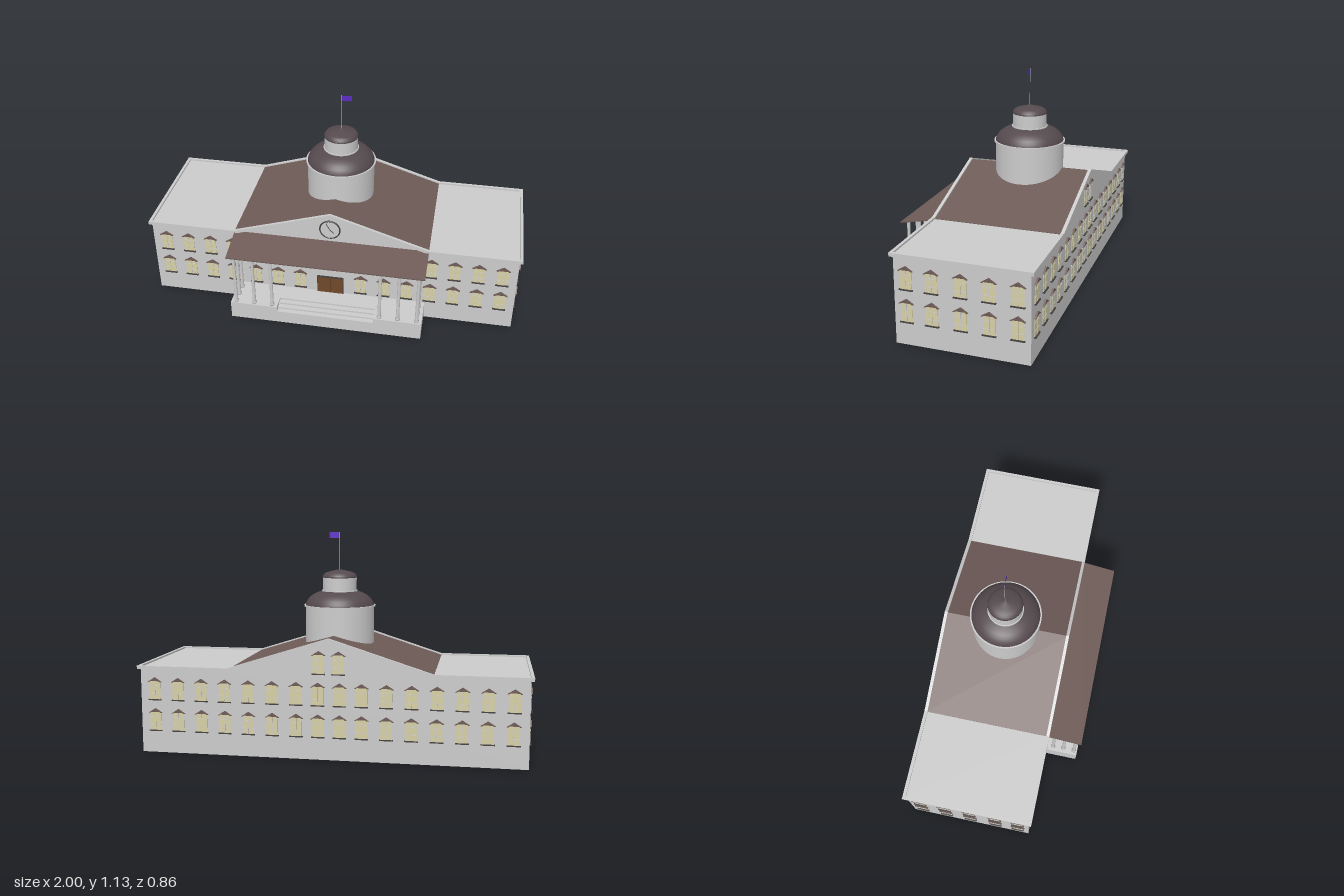
import * as THREE from 'three';

const mat = (color, side = THREE.FrontSide) => new THREE.MeshStandardMaterial({ color, side });
const grey = mat(0xcccccc);
const roofBrown = mat(0x6e5b57, THREE.DoubleSide);
const domeBrown = mat(0x554a4e, THREE.DoubleSide);
const glass = mat(0xd6d0a4);
const dark = mat(0x444040);
const wood = mat(0x70482a);
const purple = mat(0x5a2bc4, THREE.DoubleSide);

const FRONT = 0.24, BACK = -0.415, HALF = 0.985, DOME_Z = -0.09;

function add(parent, name, geometry, material, x = 0, y = 0, z = 0) {
  const mesh = new THREE.Mesh(geometry, material);
  mesh.name = name;
  mesh.position.set(x, y, z);
  parent.add(mesh);
  return mesh;
}

// box given by its minimum and maximum corners
function block(parent, name, material, [x0, y0, z0], [x1, y1, z1]) {
  return add(parent, name, new THREE.BoxGeometry(x1 - x0, y1 - y0, z1 - z0), material,
    (x0 + x1) / 2, (y0 + y1) / 2, (z0 + z1) / 2);
}

// outline in x and y, pushed from z0 to z1
function prism(points, z0, z1) {
  const shape = new THREE.Shape(points.map(p => new THREE.Vector2(...p)));
  return new THREE.ExtrudeGeometry(shape, { depth: z1 - z0, bevelEnabled: false }).translate(0, 0, z0);
}

// band of constant height beneath a line
const band = (line, h) => [...line, ...line.map(([x, y]) => [x, y - h]).reverse()];

// Window pieces, origin at the middle of the sill, facing +z
const paneGeo = prism([[-0.029, 0], [0.029, 0], [0.029, 0.086], [0.022, 0.095], [-0.022, 0.095], [-0.029, 0.086]], 0, 0.003);
const hoodGeo = prism([[-0.037, 0.091], [-0.028, 0.091], [-0.022, 0.096], [0.022, 0.096], [0.028, 0.091], [0.037, 0.091], [0, 0.115]], 0, 0.01);
const sillGeo = new THREE.BoxGeometry(0.068, 0.005, 0.01);
const mullionGeo = new THREE.BoxGeometry(0.003, 0.092, 0.005);
const railGeo = new THREE.BoxGeometry(0.058, 0.0025, 0.005);

function addWindow(parent, x, y, z, turn) {
  const g = new THREE.Group();
  g.name = 'window';
  add(g, 'pane', paneGeo, glass);
  add(g, 'hood', hoodGeo, roofBrown);
  add(g, 'sill', sillGeo, dark, 0, -0.002, 0.005);
  add(g, 'mullion', mullionGeo, grey, 0, 0.047, 0.0025);
  add(g, 'rail', railGeo, grey, 0, 0.07, 0.0025);
  add(g, 'rail', railGeo, grey, 0, 0.03, 0.0025);
  g.position.set(x, y, z);
  g.rotation.y = turn;
  parent.add(g);
}

function addWindows(parent) {
  const xs = [0.055, 0.166, 0.29, 0.414, 0.538, 0.662, 0.786, 0.91];
  const zs = [0.18, 0.055, -0.085, -0.22, -0.355];
  for (const s of [-1, 1]) {
    for (const y of [0.118, 0.28]) {
      xs.forEach((x, i) => {
        if (i > 0 || y > 0.2) addWindow(parent, s * x, y, FRONT, 0); // door takes the lower middle
        addWindow(parent, s * x, y, BACK, Math.PI);
      });
      zs.forEach(z => addWindow(parent, s * HALF, y, z, s * Math.PI / 2));
    }
    addWindow(parent, s * 0.05, 0.44, BACK, Math.PI);
  }
}

function addBody(parent) {
  const walls = [[-HALF, 0], [HALF, 0], [HALF, 0.446], [0.52, 0.446], [0, 0.603], [-0.52, 0.446], [-HALF, 0.446]];
  add(parent, 'walls', prism(walls, BACK, FRONT), grey);
  // pitched roof over the middle
  const pitch = [[-0.52, 0.448], [0, 0.612], [0.52, 0.448]];
  add(parent, 'pitchedRoof', prism(band(pitch, 0.008).reverse(), -0.42, 0.245), roofBrown);
  // cornice that climbs over both gables
  const line = [[-1, 0.455], [-0.52, 0.455], [0, 0.619], [0.52, 0.455], [1, 0.455]];
  const cornice = band(line, 0.018).reverse();
  add(parent, 'frontCornice', prism(cornice, FRONT - 0.002, 0.254), grey);
  add(parent, 'backCornice', prism(cornice, -0.43, BACK + 0.002), grey);
  for (const s of [-1, 1]) {
    add(parent, 'sideCornice', new THREE.BoxGeometry(0.016, 0.018, 0.67), grey, s * 0.992, 0.446, -0.088);
  }
}

function addColumn(parent, x, z) {
  const top = 0.441 - (z - 0.245) * 0.205;
  const r = 0.009, b = 0.013;
  const profile = [[0, 0.1], [b, 0.1], [b, 0.107], [r, 0.111], [r * 0.9, top - 0.012], [b, top - 0.007], [b, top], [0, top]];
  add(parent, 'column', new THREE.LatheGeometry(profile.map(p => new THREE.Vector2(...p)), 16), grey, x, 0, z);
}

function addPorch(parent) {
  const w = 0.515, front = 0.42, stair = 0.26;
  block(parent, 'porchBase', grey, [-w, 0, FRONT - 0.01], [w, 0.072, front]);
  block(parent, 'porchFloor', grey, [-w, 0.072, FRONT - 0.01], [w, 0.1, 0.34]);
  for (const s of [-1, 1]) {
    add(parent, 'porchSide', new THREE.BoxGeometry(w - stair, 0.028, 0.08), grey, s * (w + stair) / 2, 0.086, 0.38);
    // three columns along each side, two more along the front
    for (const z of [0.4, 0.34, 0.28]) addColumn(parent, s * 0.488, z);
    for (const x of [0.388, 0.29]) addColumn(parent, s * x, 0.4);
  }
  // steps sunk into the porch
  for (let i = 0; i < 2; i++) {
    block(parent, 'step', grey, [-stair, 0.072, 0.33], [stair, 0.0905 - i * 0.0095, 0.367 + i * 0.027]);
  }
  // lean-to roof, its section drawn in z and y
  const section = [[0.24, 0.439], [0.43, 0.402], [0.43, 0.408], [0.24, 0.446]];
  const roof = prism(section, -0.52, 0.52).rotateY(-Math.PI / 2);
  add(parent, 'porchRoof', roof, roofBrown);
  // double door
  for (const s of [-1, 1]) {
    add(parent, 'doorLeaf', new THREE.BoxGeometry(0.067, 0.102, 0.008), wood, s * 0.0345, 0.151, FRONT + 0.004);
    add(parent, 'doorJamb', new THREE.BoxGeometry(0.004, 0.104, 0.01), dark, s * 0.07, 0.152, FRONT + 0.005);
  }
  add(parent, 'doorLintel', new THREE.BoxGeometry(0.144, 0.004, 0.01), dark, 0, 0.204, FRONT + 0.005);
}

function addClock(parent) {
  const g = new THREE.Group();
  g.name = 'clock';
  add(g, 'clockFace', new THREE.CylinderGeometry(0.052, 0.052, 0.01, 40).rotateX(Math.PI / 2), grey, 0, 0, 0.005);
  add(g, 'clockRim', new THREE.TorusGeometry(0.053, 0.004, 8, 40), dark, 0, 0, 0.009);
  for (const [length, angle] of [[0.042, 0.5], [0.028, -2.3]]) {
    const hand = new THREE.BoxGeometry(0.003, length, 0.002).translate(0, length / 2, 0);
    add(g, 'clockHand', hand, dark, 0, 0, 0.011).rotation.z = angle;
  }
  g.position.set(0, 0.525, FRONT);
  parent.add(g);
}

function addDome(parent) {
  const lathe = (name, pts, material) => add(parent, name,
    new THREE.LatheGeometry(pts.map(p => new THREE.Vector2(...p)), 48), material, 0, 0, DOME_Z);
  const drum = (name, r, y0, y1) => add(parent, name,
    new THREE.CylinderGeometry(r, r, y1 - y0, 48), grey, 0, (y0 + y1) / 2, DOME_Z);
  drum('drum', 0.18, 0.5, 0.75);
  drum('drumRing', 0.188, 0.747, 0.755);
  lathe('lowerDome', [[0.18, 0.755], [0.177, 0.767], [0.168, 0.783], [0.154, 0.798], [0.137, 0.81], [0.115, 0.821], [0.085, 0.829]], domeBrown);
  drum('lanternRing', 0.094, 0.826, 0.832);
  drum('lantern', 0.089, 0.82, 0.9);
  lathe('upperDome', [[0.086, 0.897], [0.091, 0.899], [0.089, 0.906], [0.082, 0.917], [0.07, 0.924], [0.045, 0.931], [0, 0.941]], domeBrown);
  // flag on its pole
  add(parent, 'flagPole', new THREE.CylinderGeometry(0.0012, 0.0012, 0.197, 8), grey, 0, 1.0365, DOME_Z);
  const flag = new THREE.PlaneGeometry(0.056, 0.03, 12, 1);
  const p = flag.attributes.position;
  for (let i = 0; i < p.count; i++) {
    p.setZ(i, 0.002 * Math.sin((p.getX(i) + 0.028) * 110));
  }
  flag.computeVertexNormals();
  add(parent, 'flag', flag, purple, 0.028, 1.119, DOME_Z);
}

export function createModel() {
  const model = new THREE.Group();
  model.name = 'domedHall';
  for (const [name, build] of [['body', addBody], ['windows', addWindows], ['porch', addPorch], ['pediment', addClock], ['dome', addDome]]) {
    const part = new THREE.Group();
    part.name = name;
    build(part);
    model.add(part);
  }
  return model;
}
